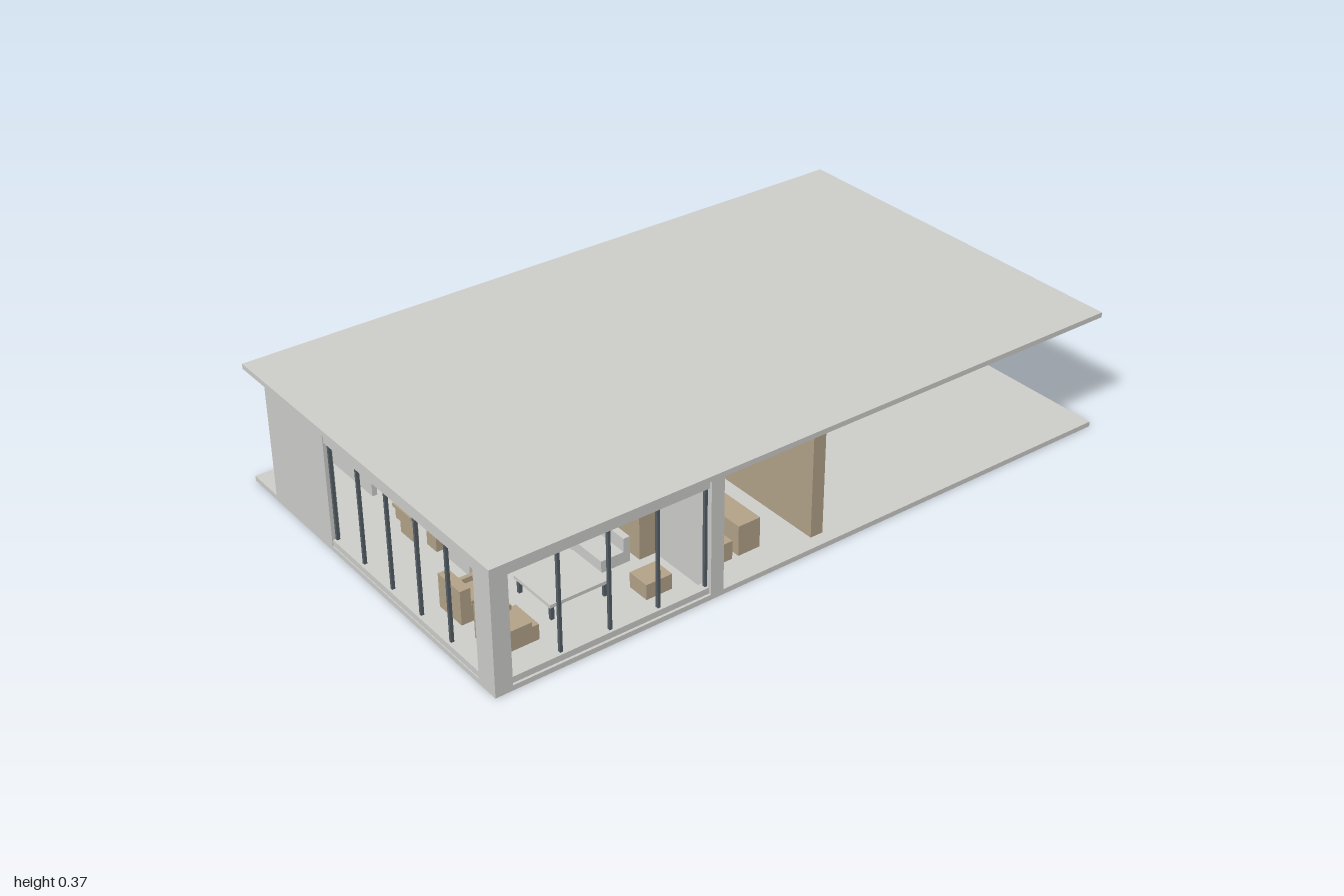
import * as THREE from 'three';

export function createModel() {
  const house = new THREE.Group();
  house.name = 'house';
  const material = (name, color) => {
    const m = new THREE.MeshStandardMaterial({ color });
    m.name = name;
    return m;
  };
  const concrete = material('concrete', 0xcfcfcc);
  const wood = material('wood', 0xb4a489);
  const steel = material('steel', 0x566066);

  const FLOOR = 0.015, CEILING = 0.35, DOOR = 0.333;

  // Box given by its limits on each axis
  function block(name, mat, x0, x1, y0, y1, z0, z1, parent = house) {
    const mesh = new THREE.Mesh(new THREE.BoxGeometry(x1 - x0, y1 - y0, z1 - z0), mat);
    mesh.position.set((x0 + x1) / 2, (y0 + y1) / 2, (z0 + z1) / 2);
    mesh.name = name;
    parent.add(mesh);
  }
  const wall = (name, x0, x1, z0, z1) => block(name, concrete, x0, x1, FLOOR, CEILING, z0, z1);
  const panel = (name, x0, x1, z0, z1, top = DOOR) => block(name, wood, x0, x1, FLOOR, top, z0, z1);

  // Glazing frame along x or z: sill, head rail and slim steel mullions
  function glazing(name, axis, from, to, at, depth, panes) {
    const g = new THREE.Group();
    g.name = name;
    const part = (n, mat, a0, a1, y0, y1, d) => axis === 'x'
      ? block(n, mat, a0, a1, y0, y1, at - d / 2, at + d / 2, g)
      : block(n, mat, at - d / 2, at + d / 2, y0, y1, a0, a1, g);
    part('sill', concrete, from, to, FLOOR, 0.033, depth);
    part('headRail', concrete, from, to, 0.327, CEILING, depth);
    for (let i = 0; i <= panes; i++) {
      const a = from + 0.004 + (to - from - 0.008) * i / panes;
      part('mullion', steel, a - 0.004, a + 0.004, 0.033, 0.327, 0.009);
    }
    house.add(g);
  }

  // Slabs
  block('floorSlab', concrete, -1, 1, 0, FLOOR, -0.59, 0.59);
  block('roofSlab', concrete, -1, 1, CEILING, 0.365, -0.59, 0.59);

  // Outer wall on the living room side
  wall('cornerPier', -1, -0.95, 0.52, 0.59);
  wall('sideWall', -1, -0.975, -0.47, -0.17);
  glazing('sideWindow', 'z', -0.17, 0.52, -0.985, 0.025, 5);
  glazing('frontWindow', 'x', -0.95, -0.36, 0.57, 0.025, 4);

  // Partitions
  wall('frontPartition', -0.36, -0.32, 0.36, 0.59);
  wall('kitchenPartition', -0.36, -0.325, -0.59, -0.28);
  wall('sidePartition', -0.8, -0.785, -0.59, -0.31);
  wall('courtPartition', 0.21, 0.235, -0.59, 0.02);
  wall('hallWall', -0.04, 0.21, -0.07, -0.05);
  wall('hallReturn', -0.36, -0.25, -0.07, -0.05);
  block('hallHeader', concrete, -0.36, 0, 0.287, CEILING, 0.165, 0.18);

  // Wooden walls and cabinets
  panel('timberWall', 0, 0.04, 0.17, 0.55);
  panel('livingCabinet', -0.41, -0.36, 0.09, 0.36);
  panel('kitchenCabinet', -0.41, -0.36, -0.57, -0.06);
  panel('hallCabinet', 0.04, 0.22, -0.05, 0.018);

  // Kitchen
  panel('kitchenCounter', -0.78, -0.41, -0.565, -0.5, 0.12);
  panel('kitchenIsland', -0.72, -0.5, -0.36, -0.29, 0.105);
  glazing('kitchenWindow', 'x', -0.68, -0.41, -0.583, 0.022, 4);

  // Rear bedroom
  wall('bedroomFront', 0.34, 0.73, 0, 0.02);
  wall('bedroomSide', 0.712, 0.73, -0.437, 0);
  glazing('bedroomWindow', 'x', 0.34, 0.73, -0.448, 0.022, 4);
  panel('wardrobe', 0.67, 0.712, -0.4, -0.02, 0.3);
  panel('bed', 0.42, 0.63, -0.39, -0.12, 0.08);
  panel('headboard', 0.4, 0.65, -0.12, -0.1, 0.14);

  // Furniture in the open hall
  panel('longCounter', -0.2, -0.13, 0.2, 0.5, 0.105);
  panel('lowBench', -0.26, -0.22, 0.25, 0.5, 0.07);

  // Armchairs: seat, back and two arms
  function armchair(x, z, turn) {
    const g = new THREE.Group();
    g.name = 'armchair';
    block('seat', wood, -0.03, 0.06, 0, 0.045, -0.05, 0.05, g);
    block('back', wood, -0.06, -0.03, 0, 0.1, -0.05, 0.05, g);
    for (const s of [-1, 1]) block('arm', wood, -0.03, 0.04, 0.045, 0.06, s * 0.045 - 0.006, s * 0.045 + 0.006, g);
    g.position.set(x, FLOOR, z);
    g.rotation.y = turn;
    house.add(g);
  }
  armchair(-0.86, 0.43, 0);
  armchair(-0.86, 0.27, 0);
  panel('stool', -0.5, -0.42, 0.44, 0.51, 0.06);

  // Coffee table
  const table = new THREE.Group();
  table.name = 'coffeeTable';
  block('tableTop', concrete, -0.74, -0.56, 0.055, 0.065, 0.28, 0.44, table);
  for (const x of [-0.73, -0.57]) for (const z of [0.29, 0.43])
    block('tableLeg', steel, x - 0.005, x + 0.005, FLOOR, 0.055, z - 0.005, z + 0.005, table);
  house.add(table);

  // Corner sofa
  const sofa = new THREE.Group();
  sofa.name = 'sofa';
  block('longSeat', concrete, -0.8, -0.5, 0.025, 0.06, 0.08, 0.17, sofa);
  block('longBack', concrete, -0.8, -0.5, 0.025, 0.1, 0.06, 0.08, sofa);
  block('shortSeat', concrete, -0.53, -0.46, 0.025, 0.06, 0.17, 0.36, sofa);
  block('shortBack', concrete, -0.46, -0.44, 0.025, 0.1, 0.06, 0.36, sofa);
  house.add(sofa);

  // Dining table with chairs on both sides
  block('diningTop', wood, -0.84, -0.6, 0.095, 0.105, -0.13, -0.04);
  for (const x of [-0.82, -0.62]) block('diningLeg', wood, x - 0.006, x + 0.006, FLOOR, 0.095, -0.12, -0.05);
  for (const x of [-0.78, -0.66]) for (const s of [-1, 1]) {
    const z = -0.085 + s * 0.075;
    block('diningSeat', wood, x - 0.022, x + 0.022, FLOOR, 0.06, z - 0.02, z + 0.02);
    const b = z + s * 0.022;
    block('diningBack', wood, x - 0.022, x + 0.022, FLOOR, 0.12, b - 0.004, b + 0.004);
  }
  return house;
}
